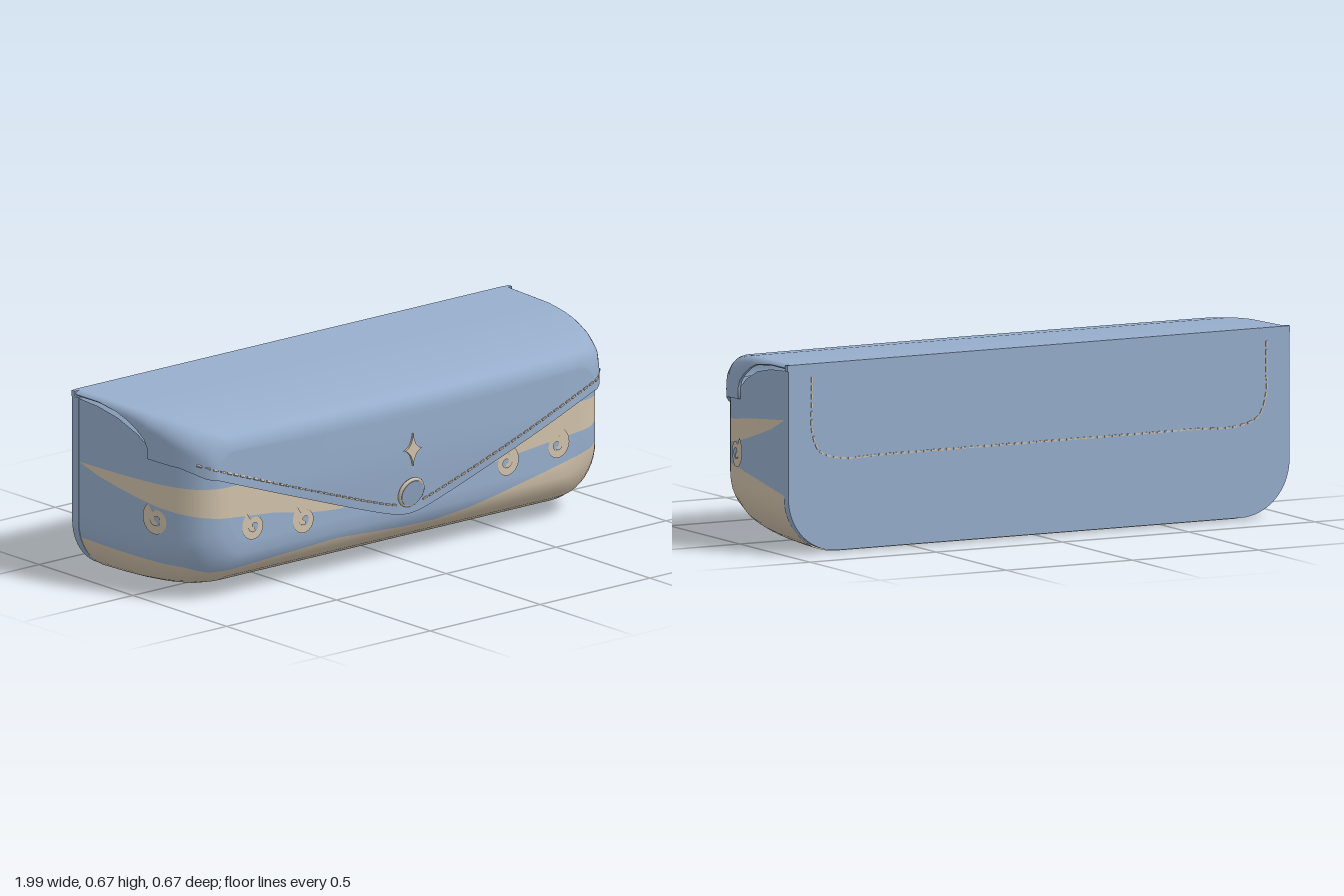
import * as THREE from 'three';
import { mergeGeometries } from 'three/addons/utils/BufferGeometryUtils.js';

const V3 = (x, y, z) => new THREE.Vector3(x, y, z);
const smooth = THREE.MathUtils.smoothstep;
const blue = new THREE.MeshStandardMaterial({ color: 0x96adcb, side: THREE.DoubleSide });
blue.name = 'dusty blue';
const cream = new THREE.MeshStandardMaterial({ color: 0xd0c1aa, side: THREE.DoubleSide });
cream.name = 'warm cream';

// piecewise-linear lookup in [[x, y], ...]
function look(table, x) {
  if (x <= table[0][0]) return table[0][1];
  for (let i = 1; i < table.length; i++) {
    const [x0, y0] = table[i - 1], [x1, y1] = table[i];
    if (x <= x1) return y0 + (y1 - y0) * (x - x0) / (x1 - x0);
  }
  return table[table.length - 1][1];
}

// smooth skin over rows of points
function skin(rows) {
  const n = rows[0].length, index = [];
  for (let i = 0; i < rows.length - 1; i++) for (let j = 0; j < n - 1; j++) {
    const a = i * n + j, b = a + n;
    index.push(a, b, a + 1, b, b + 1, a + 1);
  }
  const g = new THREE.BufferGeometry().setFromPoints(rows.flat());
  g.setIndex(index);
  g.computeVertexNormals();
  return g;
}

// keep the part of a geometry where f(point) > 0
function clip(geo, f) {
  const g = geo.index ? geo.toNonIndexed() : geo;
  const P = g.attributes.position, N = g.attributes.normal, pos = [], nor = [];
  for (let t = 0; t < P.count; t += 3) {
    const tri = [0, 1, 2].map(k => {
      const p = V3().fromBufferAttribute(P, t + k);
      return { p, n: V3().fromBufferAttribute(N, t + k), d: f(p) };
    });
    const poly = [];
    tri.forEach((a, k) => {
      const b = tri[(k + 1) % 3];
      if (a.d > 0) poly.push(a);
      if (a.d > 0 !== b.d > 0) {
        const s = a.d / (a.d - b.d);
        poly.push({ p: a.p.clone().lerp(b.p, s), n: a.n.clone().lerp(b.n, s) });
      }
    });
    for (let k = 1; k + 1 < poly.length; k++) for (const v of [poly[0], poly[k], poly[k + 1]]) {
      pos.push(...v.p.toArray()); nor.push(...v.n.toArray());
    }
  }
  const out = new THREE.BufferGeometry();
  out.setAttribute('position', new THREE.Float32BufferAttribute(pos, 3));
  out.setAttribute('normal', new THREE.Float32BufferAttribute(nor, 3));
  return out;
}

// body: U-shaped rings that shrink toward the front
const INSET = [[-0.3, 0], [-0.2, 0.002], [-0.1, 0.006], [0, 0.014], [0.05, 0.02], [0.1, 0.028], [0.17, 0.047],
  [0.22, 0.073], [0.25, 0.1], [0.27, 0.135], [0.277, 0.16], [0.28, 0.19]];
const BODY_TOP = [[-0.3, 0.643], [-0.2, 0.636], [-0.1, 0.616], [-0.05, 0.6], [0, 0.575], [0.05, 0.54]];
const bodyX = z => 0.99 - look(INSET, z);
function bodySkin() {
  const rows = INSET.map(([z, e]) => {
    const w = 0.99 - e, r = 0.2 - e / 2, top = look(BODY_TOP, z), half = [];
    for (let i = 0; i < 8; i++) half.push([w, top + (e + r - top) * i / 8]);
    for (let i = 0; i <= 10; i++) {
      const a = i / 10 * Math.PI / 2;
      half.push([w - r + r * Math.cos(a), e + r - r * Math.sin(a)]);
    }
    const row = half.map(([x, y]) => V3(x, y, z));
    for (let i = 1; i < 60; i++) row.push(V3((w - r) * (1 - i / 30), e, z));
    return row.concat(half.reverse().map(([x, y]) => V3(-x, y, z)));
  });
  const last = rows[rows.length - 1];
  for (const f of [0.04, 0.3, 0.6, 1]) rows.push(last.map(p => V3(p.x, p.y + (0.54 - p.y) * f, p.z)));
  return skin(rows);
}

// painted borders: one table across the front, one along each side
const border = (front, left, right) => p => Math.abs(p.x) < 0.87 ? look(front, p.x) : look(p.x > 0 ? left : right, p.z);
const wave = border([[-0.87, 0.1], [-0.7, 0.11], [-0.3, 0.135], [0, 0.115], [0.15, 0.112], [0.3, 0.13], [0.5, 0.17], [0.7, 0.21], [0.87, 0.245]],
  [[-0.3, 0.205], [-0.1, 0.237], [0.05, 0.255], [0.2, 0.26], [0.28, 0.245]], [[-0.3, 0.14], [0.2, 0.12], [0.28, 0.1]]);
const bandTop = border([[-0.87, 0.415], [0.87, 0.42]],
  [[-0.29, 0.47], [-0.1, 0.45], [0.05, 0.43], [0.15, 0.415], [0.28, 0.42]], [[-0.29, 0.415], [0.28, 0.415]]);
const bandLow = border([[-0.87, 0.31], [-0.6, 0.285], [-0.4, 0.25], [-0.28, 0.24], [-0.2, 0.3], [0.2, 0.3], [0.3, 0.265], [0.6, 0.295], [0.87, 0.32]],
  [[-0.3, 0.47], [-0.295, 0.455], [-0.05, 0.38], [0.03, 0.36], [0.15, 0.335], [0.28, 0.325]],
  [[-0.3, 0.415], [-0.295, 0.405], [-0.05, 0.355], [0.1, 0.33], [0.28, 0.31]]);

// curled ribbon; place(a, b) puts the flat drawing on the surface
function scroll(R, place) {
  const rows = [];
  for (let i = 0; i <= 48; i++) {
    const t = i / 48, a = 1.0 - t * 9.2, r = R * (0.8 - 0.62 * t), w = R * (0.27 - 0.13 * t);
    rows.push([r + w, r - w].map(q => place(q * Math.cos(a), q * Math.sin(a))));
  }
  return skin(rows);
}

// lid tables: half-width, top and lower edge along z
const LID_W = [[-0.333, 1], [-0.1, 0.993], [0.05, 0.979], [0.15, 0.958], [0.22, 0.93], [0.265, 0.897], [0.28, 0.875], [0.285, 0.86]];
const LID_H = [[-0.333, 0.667], [-0.1, 0.662], [0, 0.656], [0.1, 0.645], [0.18, 0.629], [0.24, 0.61], [0.265, 0.597], [0.28, 0.575], [0.285, 0.55]];
const LID_B = [[-0.333, 0.655], [-0.2, 0.653], [-0.1, 0.64], [-0.05, 0.622], [0, 0.595], [0.035, 0.567], [0.05, 0.54], [0.0501, 0.5], [0.2, 0.488], [0.285, 0.45]];
const LID_PLAN = LID_W.map(([z, w]) => [w, z]).reverse();
const flapEdge = x => 0.147 + 0.353 * Math.hypot(x, 0.07);
const bulge = x => 0.033 * Math.max(0, 1 - (x / 0.9) ** 2);
const flapZ = (x, y) => look(LID_PLAN, Math.abs(x)) + bulge(x) - 0.018 * smooth(0.4 - y, 0, 0.23);

function lidRows() {
  const zs = [-0.333, -0.2, -0.1, -0.05, 0, 0.035, 0.05, 0.0501, 0.1, 0.15, 0.18, 0.22, 0.24, 0.265, 0.28, 0.285];
  const rows = zs.map(z => {
    const w = look(LID_W, z), h = look(LID_H, z), b = look(LID_B, z);
    const r = 0.03 + 0.05 * smooth(z, -0.1, 0.28), half = [];
    for (let i = 0; i <= 14; i++) {
      const y = b + (h - b) * Math.sin(i / 14 * Math.PI / 2), over = Math.max(0, y - h + r);
      half.push([w - r + Math.sqrt(Math.max(0, r * r - over * over)), y]);
    }
    const pts = half.map(([x, y]) => [-x, y]);
    for (let i = 1; i < 60; i++) pts.push([(w - r) * (i / 30 - 1), h]);
    pts.push(...half.reverse());
    return pts.map(([x, y]) => V3(x, y, z + bulge(x) * smooth(z, -0.05, 0.285)));
  });
  const last = rows[rows.length - 1];
  for (const f of [0.06, 0.2, 0.4, 0.6, 0.8, 1]) rows.push(last.map(p => {
    const y = p.y + (flapEdge(p.x) - p.y) * f;
    return V3(p.x, y, 0.285 + bulge(p.x) - 0.018 * smooth(0.4 - y, 0, 0.23));
  }));
  return rows;
}

// row of dashes along a list of points
function stitches(points) {
  const curve = new THREE.CatmullRomCurve3(points), n = Math.round(curve.getLength() / 0.03), list = [];
  for (let i = 0; i <= n; i++) {
    const p = curve.getPointAt(i / n);
    const q = new THREE.Quaternion().setFromUnitVectors(V3(1, 0, 0), curve.getTangentAt(i / n));
    list.push(new THREE.BoxGeometry(0.019, 0.006, 0.006).applyQuaternion(q).translate(p.x, p.y, p.z));
  }
  return mergeGeometries(list);
}

export function createModel() {
  const group = new THREE.Group();
  const add = (name, geo, mat) => {
    const m = new THREE.Mesh(geo, mat);
    m.name = name;
    group.add(m);
    return m;
  };

  // body split into cream base, blue wall and cream band
  const body = bodySkin();
  const wall = clip(body, p => p.y - wave(p));
  add('base', clip(body, p => wave(p) - p.y), cream);
  add('wallBelowBand', clip(wall, p => bandLow(p) - p.y), blue);
  const upper = clip(wall, p => p.y - bandLow(p));
  add('band', clip(upper, p => bandTop(p) - p.y), cream);
  add('wallAboveBand', clip(upper, p => p.y - bandTop(p)), blue);

  // scrolls hanging from the band
  for (const [x, y] of [[-0.69, 0.255], [-0.46, 0.235], [0.46, 0.265], [0.69, 0.285]])
    add('frontScroll', scroll(0.055, (a, b) => V3(x + Math.sign(x) * a, y + b, 0.284)), cream);
  for (const s of [1, -1])
    add('sideScroll', scroll(0.06, (a, b) => V3(s * (bodyX(0.085 - a) + 0.004), (s > 0 ? 0.31 : 0.285) + b, 0.085 - a)), cream);

  // back panel and hinge strip
  const back = new THREE.Shape();
  back.moveTo(-0.992, 0.645);
  back.lineTo(-0.992, 0.2);
  back.absarc(-0.8, 0.199, 0.192, Math.PI, Math.PI * 1.5, false);
  back.absarc(0.8, 0.199, 0.192, Math.PI * 1.5, Math.PI * 2, false);
  back.lineTo(0.992, 0.645);
  add('backPanel', new THREE.ExtrudeGeometry(back, { depth: 0.033, bevelEnabled: false, curveSegments: 16 }).translate(0, 0, -0.333), blue);
  add('hingeStrip', new THREE.BoxGeometry(1.99, 0.022, 0.018).translate(0, 0.655, -0.324), blue);

  // lid with flap, and the rim that gives it thickness
  const rows = lidRows(), lid = skin(rows), n = rows[0].length, m = rows.length;
  add('lid', lid, blue);
  const edge = [];
  for (let i = 0; i < m; i++) edge.push(i * n);
  for (let j = 1; j < n; j++) edge.push((m - 1) * n + j);
  for (let i = m - 2; i >= 0; i--) edge.push(i * n + n - 1);
  const outer = edge.map(k => rows[Math.floor(k / n)][k % n]);
  const inner = edge.map((k, i) => outer[i].clone().addScaledVector(V3().fromBufferAttribute(lid.attributes.normal, k), -0.01));
  add('lidRim', skin([outer, inner]), blue);

  // stitching
  for (const s of [1, -1]) {
    const line = [];
    for (let i = 0; i <= 20; i++) {
      const x = s * (0.07 + 0.84 * i / 20), y = flapEdge(x) + 0.035;
      line.push(V3(x, y, flapZ(x, y) + 0.002));
    }
    add('flapStitching', stitches(line), cream);
  }
  const seam = [[0.9, 0.61], [0.9, 0.52], [0.9, 0.44], [0.87, 0.36], [0.79, 0.33], [0.6, 0.33], [0.2, 0.33]];
  const seamPoints = [...seam, ...seam.map(([x, y]) => [-x, y]).reverse()].map(([x, y]) => V3(x, y, -0.333));
  add('backStitching', stitches(seamPoints), cream);

  // four-pointed star
  const star = new THREE.Shape();
  star.moveTo(0, 0.058);
  star.quadraticCurveTo(0.006, 0.008, 0.04, 0);
  star.quadraticCurveTo(0.006, -0.008, 0, -0.058);
  star.quadraticCurveTo(-0.006, -0.008, -0.04, 0);
  star.quadraticCurveTo(-0.006, 0.008, 0, 0.058);
  add('star', new THREE.ExtrudeGeometry(star, { depth: 0.008, bevelEnabled: false }).translate(0, 0.408, 0.317), cream);

  // snap button
  const snap = new THREE.Group();
  snap.name = 'snapButton';
  const ring = new THREE.Mesh(new THREE.TorusGeometry(0.05, 0.007, 10, 40), cream);
  ring.name = 'snapRing';
  const cap = new THREE.Mesh(new THREE.CylinderGeometry(0.048, 0.052, 0.016, 40).rotateX(Math.PI / 2), blue);
  cap.name = 'snapCap';
  snap.add(ring, cap);
  snap.position.set(0, 0.252, 0.313);
  snap.rotation.x = 0.25;
  group.add(snap);

  // port and small light underneath
  add('port', new THREE.CapsuleGeometry(0.028, 0.07, 8, 20).rotateZ(Math.PI / 2).scale(1, 0.2, 1).translate(0, 0.0095, -0.03), blue);
  add('light', new THREE.CylinderGeometry(0.012, 0.012, 0.008, 20).translate(0.14, 0.009, -0.03), blue);
  return group;
}
